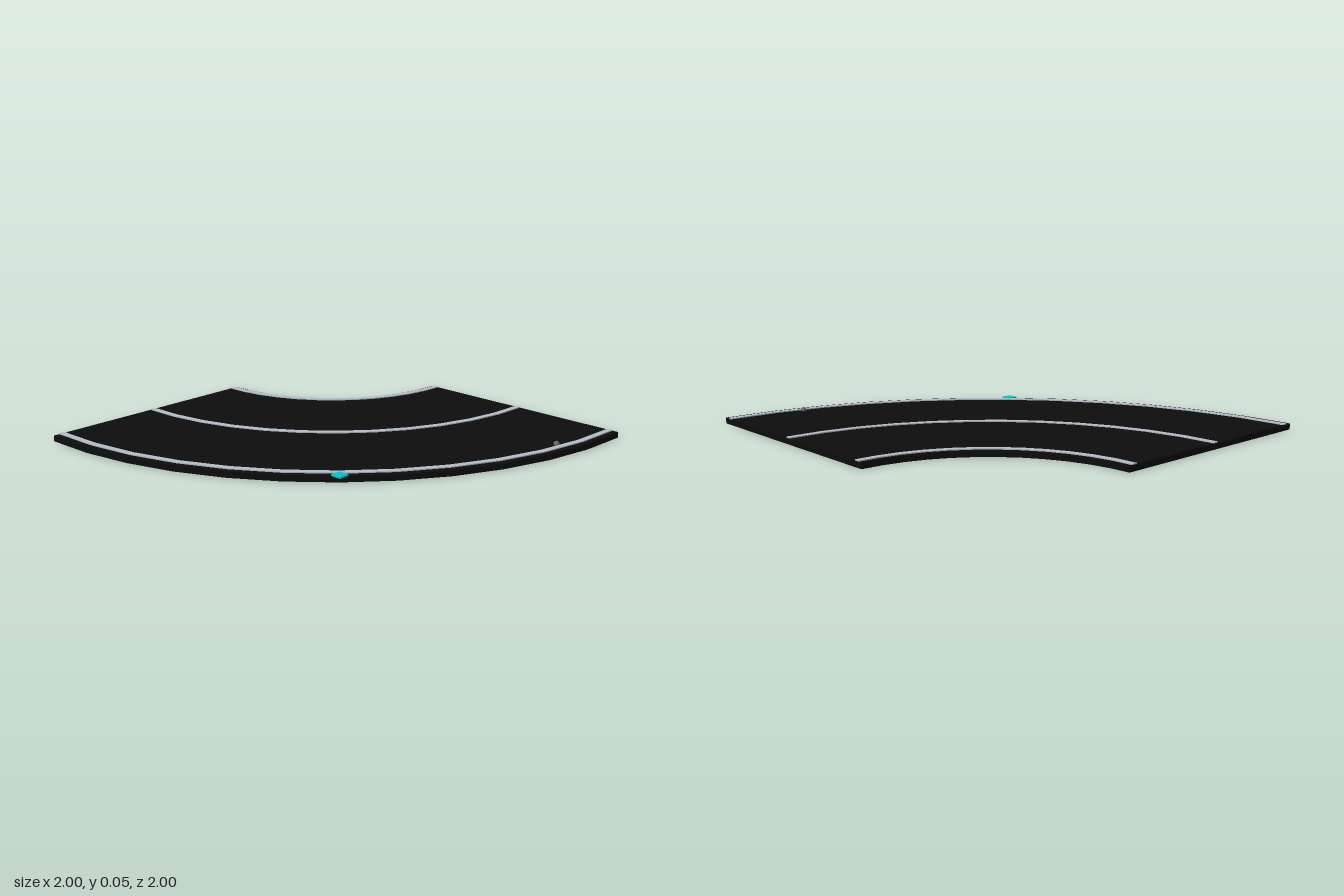
import * as THREE from 'three';

const SEGMENTS = 12;

// Quarter ring around the corner (-1, -1), extruded between two heights
function quarterRing(inner, outer, bottom, top) {
  const points = [];
  const add = (r, i) => {
    const a = (i / SEGMENTS) * Math.PI / 2;
    points.push(new THREE.Vector2(-1 + r * Math.cos(a), -1 + r * Math.sin(a)));
  };
  for (let i = 0; i <= SEGMENTS; i++) add(outer, i);
  for (let i = SEGMENTS; i >= 0; i--) add(inner, i);
  const geometry = new THREE.ExtrudeGeometry(new THREE.Shape(points), { depth: top - bottom, bevelEnabled: false });
  geometry.rotateX(Math.PI / 2);
  geometry.translate(0, top, 0);
  return geometry;
}

function material(name, color) {
  const m = new THREE.MeshStandardMaterial({ color });
  m.name = name;
  return m;
}

export function createModel() {
  const group = new THREE.Group();
  group.name = 'curvedRoad';
  const asphalt = material('asphalt black', 0x0d0d0d);
  const paint = material('line grey', 0xb4bcc6);
  const cyan = material('marker cyan', 0x00c4cc);
  const stone = material('stud grey', 0x6c6c70);

  const add = (name, geometry, mat, x = 0, y = 0, z = 0) => {
    const mesh = new THREE.Mesh(geometry, mat);
    mesh.name = name;
    mesh.position.set(x, y, z);
    group.add(mesh);
  };

  // Road slab
  add('roadSlab', quarterRing(0.8, 2, 0, 0.03), asphalt);

  // Painted lines
  const lines = { innerLine: 0.83, centreLine: 1.395, outerLine: 1.955 };
  for (const [name, r] of Object.entries(lines)) {
    add(name, quarterRing(r - 0.015, r + 0.015, 0.029, 0.035), paint);
  }

  // Edge marker and small road stud
  add('edgeMarker', new THREE.BoxGeometry(0.056, 0.008, 0.056), cyan, 0.41, 0.033, 0.41);
  add('roadStud', new THREE.SphereGeometry(0.015, 8, 6), stone, 0.88, 0.035, -0.62);
  return group;
}
